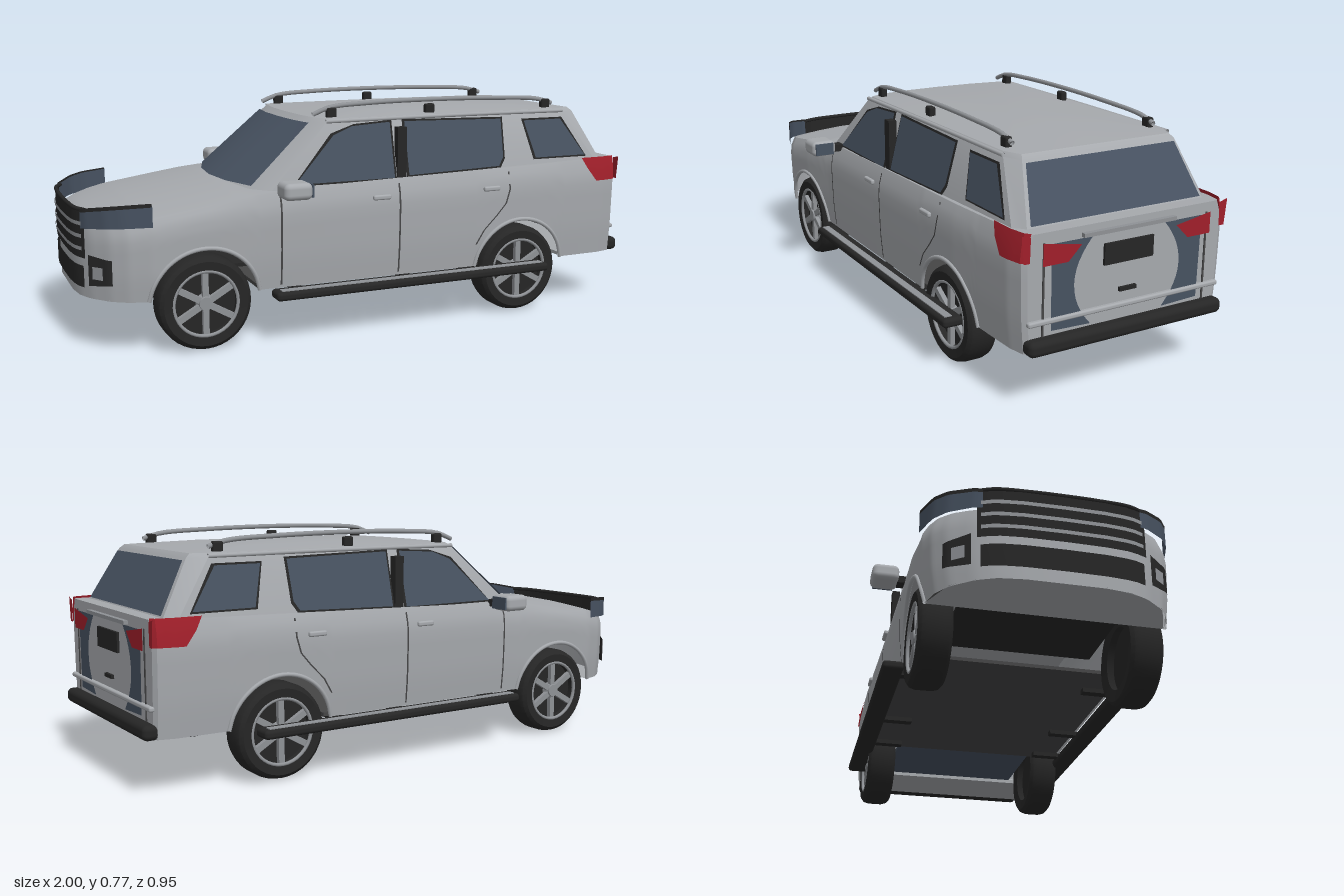
import * as THREE from 'three';
import { toCreasedNormals } from 'three/addons/utils/BufferGeometryUtils.js';
import { RoundedBoxGeometry } from 'three/addons/geometries/RoundedBoxGeometry.js';

const mat = (name, color) => {
  const m = new THREE.MeshStandardMaterial({ color, side: THREE.DoubleSide });
  m.name = name;
  return m;
};

// piecewise linear lookup in [[x, v], ...]
const lookup = (table, x) => {
  if (x <= table[0][0]) return table[0][1];
  for (let i = 1; i < table.length; i++) {
    const [x0, v0] = table[i - 1], [x1, v1] = table[i];
    if (x <= x1) return v0 + (v1 - v0) * (x - x0) / (x1 - x0);
  }
  return table[table.length - 1][1];
};

const WIDTH = [[-.985, .12], [-.975, .2], [-.95, .26], [-.9, .325], [-.85, .36], [-.78, .38], [-.6, .383],
  [-.4, .376], [0, .376], [.6, .38], [.9, .372], [.955, .36], [.965, .345]];
const SHOULDER = [[-.985, .4], [-.93, .415], [-.8, .44], [-.5, .485], [-.3, .505], [.97, .535]];
const CROWN = [[-.985, .41], [-.93, .435], [-.8, .465], [-.5, .51], [.9, .535]];
const BULGE = [[0, .965], [.3, .99], [.75, 1], [.9, .985], [1, .945]];
const NOSE = [[0, -.99], [.12, -.988], [.2, -.98], [.26, -.955], [.325, -.905], [.36, -.855], [.385, -.77]];
const WHEELS = [-.61, .55];
const SILL = .18, ARCH = .183, AXLE = .155;

const sideZ = (x, y) => lookup(WIDTH, x) * lookup(BULGE, (y - SILL) / (lookup(SHOULDER, x) - SILL));
const glassZ = y => .352 - .25 * (y - .5);
const rearGlassX = y => .82 + (.705 - y) / .205 * .115;

export function createModel() {
  const car = new THREE.Group();
  car.name = 'car';
  const paint = mat('silver paint', 0xa6a9ad), glass = mat('slate glass', 0x475261);
  const black = mat('black rubber', 0x262626), red = mat('red lamp', 0xa01f2a);
  const metal = mat('bright metal', 0x8f9296), dark = mat('dark grey', 0x454546);

  const add = (name, geo, m, x = 0, y = 0, z = 0, parent = car) => {
    const mesh = new THREE.Mesh(geo, m);
    mesh.name = name;
    mesh.position.set(x, y, z);
    parent.add(mesh);
    return mesh;
  };
  const box = (name, w, h, d, m, x, y, z, r = 0) =>
    add(name, r ? new RoundedBoxGeometry(w, h, d, 3, r) : new THREE.BoxGeometry(w, h, d), m, x, y, z);
  // skin over a grid of points
  const skin = (name, rows, m, crease = .5) => {
    const n = rows[0].length, idx = [];
    for (let i = 0; i < rows.length - 1; i++) for (let j = 0; j < n - 1; j++) {
      const a = i * n + j, b = a + n;
      idx.push(a, b, a + 1, b, b + 1, a + 1);
    }
    const g = new THREE.BufferGeometry();
    g.setAttribute('position', new THREE.Float32BufferAttribute(rows.flat(2), 3));
    g.setIndex(idx);
    return add(name, toCreasedNormals(g, crease), m);
  };
  // flat outline laid on a surface by a mapping rule
  const plate = (name, outline, m, map) => {
    const shape = outline instanceof THREE.Shape ? outline
      : new THREE.Shape(outline.map(p => new THREE.Vector2(...p)));
    const g = new THREE.ShapeGeometry(shape, 12), p = g.attributes.position;
    for (let i = 0; i < p.count; i++) p.setXYZ(i, ...map(p.getX(i), p.getY(i)));
    g.computeVertexNormals();
    return add(name, g, m);
  };
  const tube = (name, pts, r, m) => add(name, new THREE.TubeGeometry(
    new THREE.CatmullRomCurve3(pts.map(p => new THREE.Vector3(...p))), 32, r, 8), m);

  // lower body: sections along the length, lower edge follows the wheel arches
  const section = (x, squash = 1) => {
    const sh = lookup(SHOULDER, x), crown = lookup(CROWN, x), half = [];
    let bottom = SILL;
    for (const c of WHEELS) if (Math.abs(x - c) < ARCH)
      bottom = Math.max(bottom, AXLE + Math.sqrt(ARCH ** 2 - (x - c) ** 2));
    for (let i = 0; i <= 8; i++) {
      const y = bottom + (sh - bottom) * i / 8;
      half.push([x, y, sideZ(x, y) * squash]);
    }
    const edge = sideZ(x, sh) * squash;
    for (const t of [.9, .7, .4, 0]) half.push([x, sh + (crown - sh) * (1 - t * t), edge * t]);
    return [...half, ...half.slice(0, -1).reverse().map(([a, b, c]) => [a, b, -c])];
  };
  const sections = [section(-.985, 0)];
  for (let i = 0; i <= 195; i++) sections.push(section(-.985 + i * .01));
  sections.push(section(.965, 0));
  skin('lowerBody', sections, paint);

  // cabin shell and crowned roof
  const base = [[-.49, 0], [-.475, .15], [-.43, .29], [-.38, .352], [.1, .352], [.9, .352], [.935, .325], [.935, 0]];
  const top = [[-.22, 0], [-.215, .14], [-.2, .25], [-.17, .301], [.1, .301], [.76, .301], [.82, .275], [.82, 0]];
  const ring = (half, y, s = 1) => [...half, ...half.slice(0, -1).reverse().map(([x, z]) => [x, -z])]
    .map(([x, z]) => [.3 + (x - .3) * s, y, z * s]);
  skin('cabin', [ring(base, .5), ring(top, .705), ring(top, .718, .97), ring(top, .73, .6), ring(top, .735, 0)], paint, .4);

  // windscreen and rear window
  const screenRow = t => [-2, -1, 0, 1, 2].map(i => {
    const a = base[Math.abs(i)], b = top[Math.abs(i)];
    return [a[0] + (b[0] - a[0]) * t - .006, .504 + .205 * t, Math.sign(i) * (a[1] + (b[1] - a[1]) * t)];
  });
  skin('windscreen', [screenRow(.03), screenRow(.97)], glass, 1);
  plate('rearWindow', [[-.305, .54], [.305, .54], [.268, .698], [-.268, .698]], glass, (z, y) => [rearGlassX(y) + .005, y, z]);

  // nose: bands that follow the plan curve of the front
  const band = (name, z0, z1, lo, hi, off, m) => {
    const rows = [];
    for (let i = 0; i <= 16; i++) {
      const t = i / 16, z = z0 + (z1 - z0) * t, x = lookup(NOSE, Math.abs(z)) - off;
      rows.push([[x, lo[0] + (lo[1] - lo[0]) * t, z], [x, hi[0] + (hi[1] - hi[0]) * t, z]]);
    }
    skin(name, rows, m, 1);
  };
  band('grille', -.25, .25, [.31, .31], [.465, .465], .004, black);
  for (const y of [.335, .375, .415]) band('grilleBar', -.24, .24, [y, y], [y + .012, y + .012], .008, metal);
  band('lowerIntake', -.24, .24, [.215, .215], [.285, .285], .004, black);
  tube('grilleTopRim', [-.25, -.2, -.1, 0, .1, .2, .25].map(z => [lookup(NOSE, Math.abs(z)), .465, z]), .007, black);

  for (const s of [1, -1]) {
    // front lamps
    band('headlight', s * .235, s * .385, [.405, .42], [.46, .49], .007, glass);
    band('headlightRim', s * .235, s * .385, [.455, .483], [.467, .495], .009, black);
    band('fogLampRecess', s * .265, s * .335, [.225, .235], [.325, .315], .006, black);
    band('fogLamp', s * .282, s * .315, [.25, .25], [.29, .29], .01, metal);

    // side windows with black frames
    const onGlass = off => (x, y) => [x, y, s * (glassZ(y) + off)];
    const windows = [
      [[-.3, .515], [.06, .515], [.06, .7], [-.08, .692], [-.15, .665]],
      [[.115, .52], [.47, .53], [.49, .56], [.495, .692], [.115, .7]],
      [[.625, .55], [.835, .55], [.745, .682], [.59, .682]]];
    for (const w of windows) {
      const cx = w.reduce((a, p) => a + p[0], 0) / w.length, cy = w.reduce((a, p) => a + p[1], 0) / w.length;
      plate('windowFrame', w.map(([x, y]) => [x + Math.sign(x - cx) * .008, y + Math.sign(y - cy) * .006]), black, onGlass(.003));
      plate('sideWindow', w, glass, onGlass(.006));
    }
    box('doorPillar', .034, .19, .028, black, .088, .59, s * .337);

    // door seams and handles
    const seam = pts => skin('doorSeam', pts.map(([x, y]) =>
      [x - .003, x + .003].map(a => [a, y, s * (sideZ(a, y) + .002)])), dark);
    const straight = x => Array.from({ length: 9 }, (_, i) => [x, .19 + i * .0385]);
    seam(straight(-.355));
    seam(straight(.07));
    seam([[.37, .26], [.4, .31], [.45, .36], [.485, .4], [.5, .45], [.5, .51]]);
    for (const x of [0, .425]) box('doorHandle', .065, .017, .014, paint, x, .457, s * .381, .006);

    // wheel arch lips
    for (const c of WHEELS) tube('archLip', Array.from({ length: 13 }, (_, i) => {
      const a = .14 + (Math.PI - .28) * i / 12, x = c + ARCH * Math.cos(a), y = AXLE + ARCH * Math.sin(a);
      return [x, y, s * sideZ(x, y)];
    }), .007, paint);

    // running board
    box('runningBoard', 1.03, .03, .07, black, .125, .165, s * .395, .012);
    box('runningBoardStrip', .99, .006, .025, metal, .125, .18, s * .405);
    for (const x of [-.3, .1, .34]) box('boardBracket', .03, .015, .12, black, x, .172, s * .32);

    // door mirror
    box('mirrorArm', .04, .025, .07, black, -.32, .505, s * .385);
    box('mirrorHousing', .095, .055, .09, paint, -.33, .512, s * .43, .018);
    box('mirrorGlass', .006, .042, .068, glass, -.281, .512, s * .432);

    // roof rail
    tube('roofRail', [[-.2, .73], [-.14, .752], [0, .762], [.23, .766], [.5, .762], [.68, .752], [.74, .735]]
      .map(([x, y]) => [x, y, s * .258]), .008, metal);
    for (const x of [-.135, .235, .71]) box('railFoot', .035, .035, .022, black, x, .734, s * .26, .006);
    tube('roofGutter', [[-.17, .71, s * .3], [.3, .712, s * .3], [.76, .71, s * .3]], .007, paint);

    // tail lamps
    skin('tailLampSide', [[.87, .455], [.835, .5], [.812, .54]].map(([x, y]) =>
      [x, .9, .93, .955, .967].map(a => [a, y, s * (sideZ(a, Math.min(y, .525)) + .005)])), red);
    const onRear = x => (z, y) => [x, y, s * z];
    plate('tailLampCorner', [[.34, .455], [.36, .455], [.368, .538], [.338, .53]], red, onRear(.97));
    plate('tailLampInner', [[.3, .44], [.215, .44], [.17, .485], [.3, .507]], red, onRear(.975));

    // tailgate side panel with a curved inner edge
    const panel = new THREE.Shape();
    panel.moveTo(.13, .5);
    panel.quadraticCurveTo(.25, .365, .13, .235);
    panel.lineTo(.265, .24);
    panel.lineTo(.27, .5);
    plate('tailgatePanel', panel, glass, onRear(.97));
    box('tailgateSeam', .004, .28, .006, dark, .966, .365, s * .292);
  }

  // tailgate details and rear bumper
  box('plateRecess', .008, .065, .176, black, .97, .437, 0);
  box('tailgateHandle', .01, .012, .06, black, .97, .32, 0);
  box('tailgateTrim', .016, .012, .33, metal, .972, .509, 0);
  box('rearBar', .02, .016, .69, paint, .968, .272, 0, .006);
  box('rearBumper', .055, .048, .7, black, .972, .202, 0, .018);

  // underside
  box('floor', .82, .012, .71, dark, -.02, .187, 0);
  box('rearFloor', .36, .012, .52, glass, .55, .2, 0);
  box('rearUndertray', .225, .012, .69, paint, .845, .188, 0);
  box('frontFloor', .36, .012, .5, black, -.6, .24, 0);
  const tray = [[-.985, .12], [-.95, .25], [-.9, .315], [-.78, .365]];
  skin('frontUndertray', tray.map(([x, z]) => [[x, .183, -z], [x, .183, z]]), paint);

  // wheels
  const tyreProfile = [[.1, -.045], [.138, -.052], [.15, -.042], [.155, -.025], [.155, .025], [.15, .042],
    [.138, .052], [.108, .049], [.104, .02]].map(p => new THREE.Vector2(...p));
  for (const x of WHEELS) for (const s of [1, -1]) {
    const wheel = new THREE.Group();
    wheel.name = 'wheel';
    wheel.position.set(x, AXLE, s * .323);
    if (s < 0) wheel.rotation.y = Math.PI;
    car.add(wheel);
    add('tyre', toCreasedNormals(new THREE.LatheGeometry(tyreProfile, 40), .6), black, 0, 0, 0, wheel).rotation.x = Math.PI / 2;
    add('wheelDish', new THREE.CylinderGeometry(.106, .106, .04, 32), black, 0, 0, 0, wheel).rotation.x = Math.PI / 2;
    add('rim', new THREE.TorusGeometry(.106, .006, 8, 36), metal, 0, 0, .045, wheel);
    add('hub', new THREE.CylinderGeometry(.022, .03, .03, 20), metal, 0, 0, .032, wheel).rotation.x = Math.PI / 2;
    for (let i = 0; i < 6; i++) {
      const a = i * Math.PI / 3 + Math.PI / 6;
      add('spoke', new THREE.BoxGeometry(.09, .02, .016), metal, Math.cos(a) * .06, Math.sin(a) * .06, .034, wheel).rotation.z = a;
    }
  }
  return car;
}
